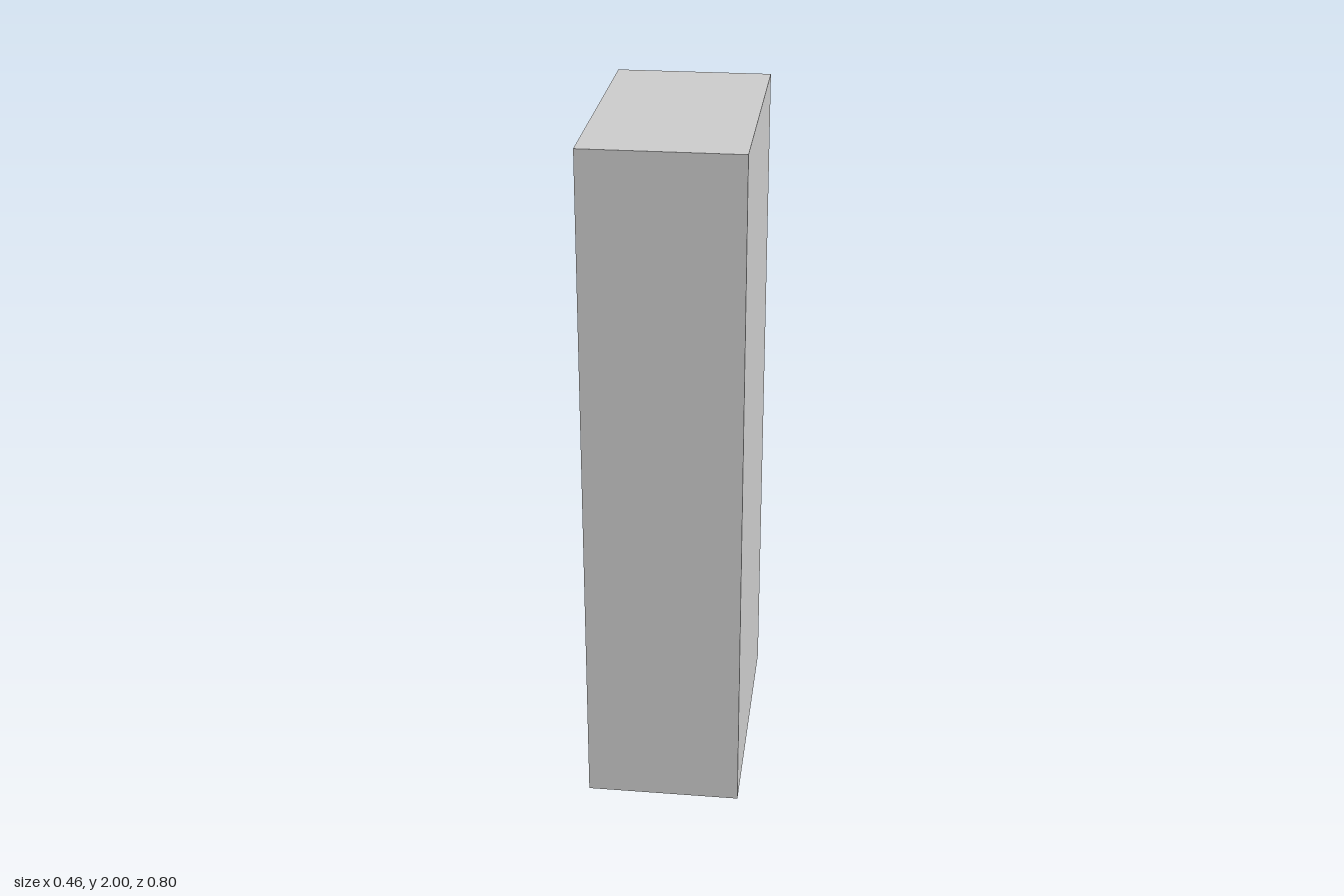
import * as THREE from 'three';

const material = new THREE.MeshStandardMaterial({ color: 0xcccccc, flatShading: true });

function part(name, geometry, x = 0, y = 0, z = 0) {
  const mesh = new THREE.Mesh(geometry, material);
  mesh.name = name;
  mesh.position.set(x, y, z);
  return mesh;
}

export function createModel() {
  const locker = new THREE.Group();
  locker.name = 'locker';

  // Cabinet body, with the doors on its -x side
  const bodyFace = -0.222, doorFace = -0.2257;
  locker.add(part('body', new THREE.BoxGeometry(0.45, 2, 0.8), 0.003, 1, 0));

  // Louvre blade: a wedge that slopes outward toward its lower edge
  const profile = new THREE.Shape([
    new THREE.Vector2(0, 0.012),
    new THREE.Vector2(-0.0033, 0.002),
    new THREE.Vector2(-0.0033, 0),
    new THREE.Vector2(0, 0),
  ]);
  const louvre = new THREE.ExtrudeGeometry(profile, { depth: 0.222, bevelEnabled: false });
  louvre.translate(0, 0, -0.111);

  // Round finger pull, rising from the low-z edge to the high-z edge
  const radius = 0.026;
  const pull = new THREE.CylinderGeometry(radius, radius, 0.002, 20);
  pull.rotateZ(Math.PI / 2);
  const pos = pull.attributes.position;
  for (let i = 0; i < pos.count; i++) {
    const rise = 0.0005 + 0.0026 * (pos.getZ(i) / radius + 1) / 2;
    pos.setX(i, pos.getX(i) < 0 ? -rise : 0);
  }
  pull.computeVertexNormals();

  // Two doors side by side, each with a pull and two louvre banks
  for (const [label, centre] of [['right', -0.182], ['left', 0.18]]) {
    const door = new THREE.Group();
    door.name = label + 'Door';
    door.position.z = centre;
    const thickness = bodyFace - doorFace + 0.002;
    door.add(part('doorPanel', new THREE.BoxGeometry(thickness, 1.917, 0.342),
      doorFace + thickness / 2, 0.9985, 0));
    door.add(part('fingerPull', pull, doorFace, 0.97, -0.12));

    for (const base of [0.085, 1.733]) {
      for (let i = 0; i < 6; i++) {
        door.add(part('louvre', louvre, doorFace, base + i * 0.0275, 0.005));
      }
    }
    locker.add(door);
  }
  return locker;
}
